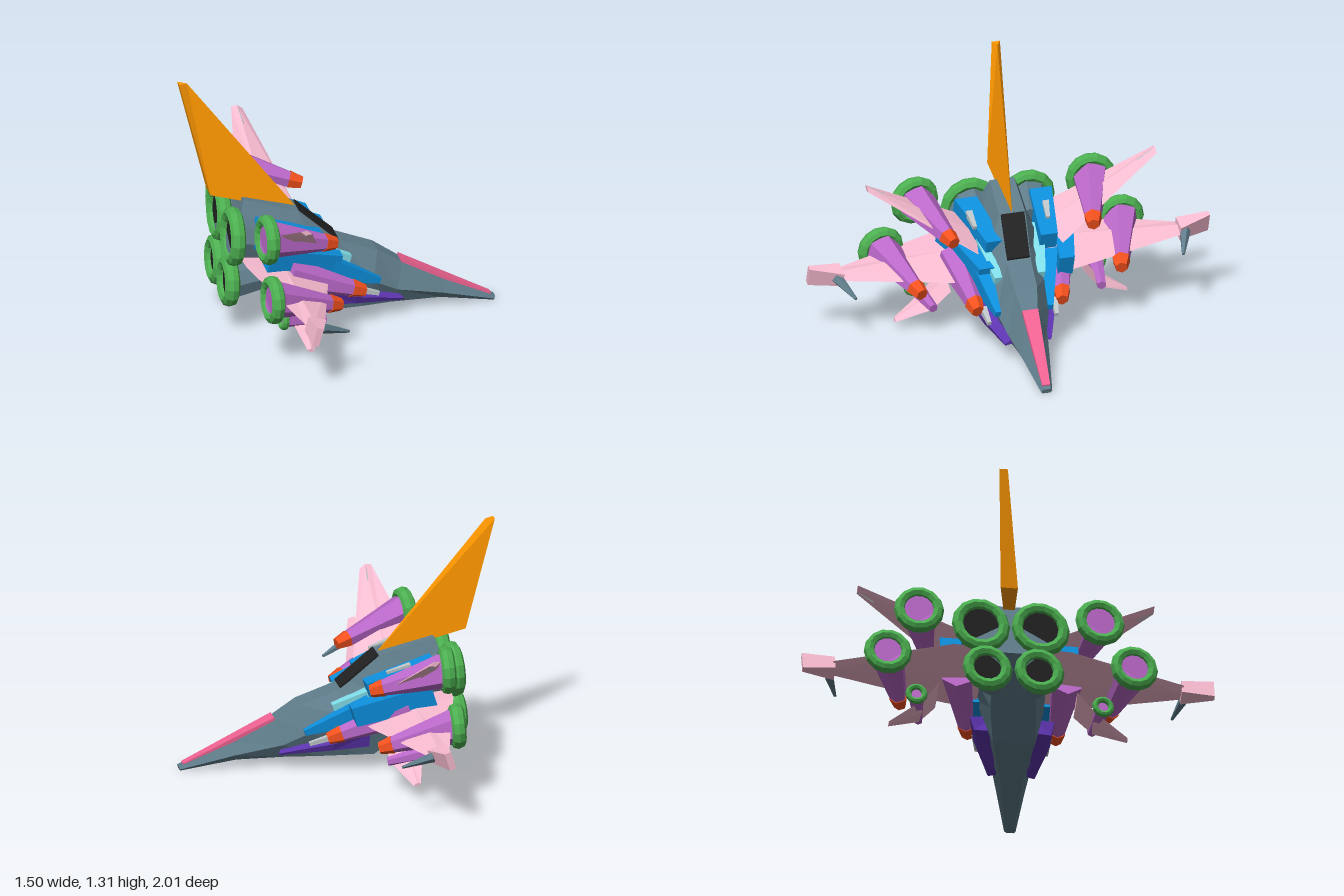
import * as THREE from 'three';

// Ship axes: x = ship's left, y = ship's up, z = forward; the ship is banked and yawed in the model frame
const LEFT = new THREE.Vector3(0.365, 0.045, -0.93);
const UP = new THREE.Vector3(0.281, 0.957, 0.069);
const HULL_POSE = new THREE.Matrix4()
  .makeBasis(LEFT, UP, new THREE.Vector3(0.87, -0.285, 0.405)).setPosition(-0.135, 0.295, 0.10);
// Wings and cannons point a few degrees to the left of the fuselage
const WING_POSE = new THREE.Matrix4()
  .makeBasis(LEFT, UP, new THREE.Vector3(0.9065, -0.2805, 0.312)).setPosition(-0.12, 0.297, 0.063);

const COLORS = {
  hull: 0x607d8b, black: 0x212121, blue: 0x0d8fdc, cyan: 0x80deea,
  pink: 0xf8bbd0, rose: 0xf06292, purple: 0xba68c8, violet: 0x5e35b1,
  orange: 0xff9800, red: 0xf4511e, green: 0x4caf50, pale: 0xbdc5c8
};
const mats = {};
for (const k in COLORS) {
  mats[k] = new THREE.MeshStandardMaterial({ color: COLORS[k], flatShading: true });
}

// Solid through cross-sections that share a corner count, capped at both ends
function loft(sections) {
  const n = sections[0].length, pos = [];
  const tri = (a, b, c) => pos.push(...a, ...b, ...c);
  for (let s = 0; s < sections.length - 1; s++) {
    const A = sections[s], B = sections[s + 1];
    for (let i = 0; i < n; i++) {
      const j = (i + 1) % n;
      tri(A[i], A[j], B[j]);
      tri(A[i], B[j], B[i]);
    }
  }
  const first = sections[0], last = sections[sections.length - 1];
  for (let i = 1; i < n - 1; i++) {
    tri(first[0], first[i + 1], first[i]);
    tri(last[0], last[i], last[i + 1]);
  }
  const g = new THREE.BufferGeometry();
  g.setAttribute('position', new THREE.Float32BufferAttribute(pos, 3));
  return g;
}

// Rectangular bar from a to b with its own width and height at each end
const rect = ([x, y, z], w, h) => [[x - w / 2, y - h / 2, z], [x + w / 2, y - h / 2, z], [x + w / 2, y + h / 2, z], [x - w / 2, y + h / 2, z]];
const bar = (a, wa, ha, b, wb, hb) => loft([rect(a, wa, ha), rect(b, wb, hb)]);

// Diamond-section wing; each station is [x, y, leading z, trailing z, half thickness]
const wing = (stations) => loft(stations.map(([x, y, lead, trail, t]) => {
  const mid = lead * 0.45 + trail * 0.55;
  return [[x, y, lead], [x, y + t, mid], [x, y, trail], [x, y - t, mid]];
}));

// Turn a geometry from its own axis to direction dir and move it to p
function aim(g, axis, dir, p) {
  const q = new THREE.Quaternion().setFromUnitVectors(axis, dir.clone().normalize());
  return g.applyQuaternion(q).translate(p.x, p.y, p.z);
}
function frustum(a, b, ra, rb, sides) {
  const A = new THREE.Vector3(...a), dir = new THREE.Vector3(...b).sub(A);
  const g = new THREE.CylinderGeometry(rb, ra, dir.length(), sides);
  return aim(g, new THREE.Vector3(0, 1, 0), dir, A.addScaledVector(dir, 0.5));
}
// Exhaust ring, its tube a little longer than it is thick
const ring = (a, dir, outer, tube) => aim(
  new THREE.TorusGeometry(outer - tube, tube, 8, 14).scale(1, 1, 1.25),
  new THREE.Vector3(0, 0, 1), new THREE.Vector3(...dir), new THREE.Vector3(...a));
const mix = (a, b, t) => a.map((v, i) => v + (b[i] - v) * t);
const step = (a, dir, t) => a.map((v, i) => v + dir[i] * t);

// Pose the geometry and make sure its faces look outward
function finish(source, pose, mirrored) {
  const g = source.index ? source.toNonIndexed() : source.clone();
  if (mirrored) g.scale(-1, 1, 1);
  g.applyMatrix4(pose);
  const p = g.attributes.position;
  const a = new THREE.Vector3(), b = new THREE.Vector3(), c = new THREE.Vector3();
  const o = new THREE.Vector3().fromBufferAttribute(p, 0);
  let volume = 0;
  for (let i = 0; i < p.count; i += 3) {
    a.fromBufferAttribute(p, i).sub(o);
    b.fromBufferAttribute(p, i + 1).sub(o);
    c.fromBufferAttribute(p, i + 2).sub(o);
    volume += a.dot(b.cross(c));
  }
  if (volume < 0) {
    for (let i = 0; i < p.count; i += 3) {
      b.fromBufferAttribute(p, i + 1);
      c.fromBufferAttribute(p, i + 2);
      p.setXYZ(i + 1, c.x, c.y, c.z);
      p.setXYZ(i + 2, b.x, b.y, b.z);
    }
  }
  g.computeVertexNormals();
  return g;
}

export function createModel() {
  const ship = new THREE.Group();
  ship.name = 'starfighter';
  const add = (name, color, g, pose = HULL_POSE, mirrored = false) => {
    const m = new THREE.Mesh(finish(g, pose, mirrored), mats[color]);
    m.name = name;
    ship.add(m);
  };
  const pair = (name, color, g, pose = WING_POSE) => {
    add(name + 'Left', color, g, pose);
    add(name + 'Right', color, g, pose, true);
  };

  // Fuselage: forward position, then half width and height of top, side and bottom
  add('fuselage', 'hull', loft([
    [1.0, 0.02, 0.014, 0.03, 0, 0.02, -0.01],
    [0.71, 0.03, 0.052, 0.07, -0.01, 0.045, -0.045],
    [0.46, 0.04, 0.10, 0.105, -0.03, 0.06, -0.118],
    [0.31, 0.06, 0.14, 0.14, 0, 0.08, -0.165],
    [0.10, 0.065, 0.15, 0.17, 0.03, 0.10, -0.228],
    [0.03, 0.068, 0.177, 0.18, 0.03, 0.11, -0.25],
    [-0.16, 0.07, 0.264, 0.19, 0.03, 0.12, -0.18],
    [-0.46, 0.065, 0.26, 0.15, 0.07, 0.09, -0.06]
  ].map(([f, wt, ut, ws, us, wb, ub]) =>
    [[wt, ut, f], [ws, us, f], [wb, ub, f], [-wb, ub, f], [-ws, us, f], [-wt, ut, f]])));
  add('canopy', 'black', bar([0, 0.25, -0.155], 0.125, 0.045, [0, 0.146, 0.085], 0.12, 0.04));
  add('noseStripe', 'rose', bar([0, 0.10, 0.455], 0.085, 0.025, [0, 0.014, 0.975], 0.042, 0.02));

  // Tail fin: sharp leading edge, flat trailing face
  add('tailFin', 'orange', loft([
    [[0, 0.24, -0.13], [0.045, 0.24, -0.63], [-0.045, 0.24, -0.63]],
    [[0, 0.79, -0.905], [0.022, 0.78, -0.95], [-0.022, 0.78, -0.95]]
  ]));

  // Main engines at the stern, their rings upright
  const mainAxis = [0, 0.23, 0.975];
  for (const [name, a, b, r] of [
    ['upperEngine', [0.155, 0.09, -0.49], [0.13, 0.10, -0.26], 0.152],
    ['lowerEngine', [0.135, -0.16, -0.44], [0.11, -0.09, -0.26], 0.13]
  ]) {
    pair(name + 'Ring', 'green', ring(a, mainAxis, r, 0.032), HULL_POSE);
    pair(name + 'Housing', 'hull', frustum(a, b, r * 0.75, r * 0.6, 8), HULL_POSE);
    pair(name + 'Core', 'black', frustum(step(a, mainAxis, -0.012), step(a, mainAxis, 0.02), r * 0.75, r * 0.75, 14), HULL_POSE);
  }

  // Blue shoulder boxes, cyan shards and violet strakes
  pair('upperShoulder', 'blue', bar([0.20, 0.15, -0.40], 0.12, 0.13, [0.145, 0.155, -0.03], 0.09, 0.09));
  pair('sideShoulder', 'blue', bar([0.30, 0.065, -0.33], 0.12, 0.13, [0.215, 0.07, 0.09], 0.08, 0.11));
  pair('cheekWedge', 'blue', bar([0.185, 0.045, -0.02], 0.10, 0.14, [0.14, 0.015, 0.34], 0.03, 0.03), HULL_POSE);
  pair('cheekShard', 'cyan', bar([0.15, 0.12, -0.2], 0.09, 0.07, [0.115, 0.09, 0.16], 0.04, 0.04), HULL_POSE);
  pair('strake', 'violet', loft([
    [[0.10, -0.07, 0.03], [0.22, -0.085, 0.03], [0.20, -0.16, 0.05], [0.10, -0.17, 0.03]],
    [[0.10, -0.06, 0.28], [0.20, -0.08, 0.22], [0.18, -0.12, 0.24], [0.08, -0.14, 0.28]],
    [[0.09, -0.055, 0.48], [0.125, -0.06, 0.50], [0.12, -0.07, 0.50], [0.07, -0.075, 0.48]]
  ]), HULL_POSE);

  // Wings
  pair('mainWing', 'pink', wing([
    [0.14, 0, 0.06, -0.44, 0.03],
    [0.31, 0, 0.03, -0.43, 0.028],
    [0.91, -0.015, -0.14, -0.25, 0.018]
  ]));
  pair('mainWingtip', 'pink', loft([
    [[0.90, -0.05, -0.24], [0.90, -0.05, -0.14], [0.90, 0.025, -0.14], [0.90, 0.025, -0.24]],
    [[1.07, -0.06, -0.235], [1.07, -0.06, -0.20], [1.07, 0.04, -0.20], [1.07, 0.04, -0.235]]
  ]));
  pair('wingtipSpike', 'hull', frustum([0.93, -0.01, -0.16], [0.875, -0.025, 0.01], 0.03, 0.008, 5));
  pair('upperWing', 'pink', wing([
    [0.16, 0.09, 0.0, -0.39, 0.025],
    [0.77, 0.42, -0.30, -0.365, 0.014]
  ]));
  pair('upperWingtipSlot', 'pale', frustum([0.68, 0.37, -0.31], [0.76, 0.415, -0.33], 0.018, 0.014, 4));
  pair('lowerFin', 'pink', wing([
    [0.36, -0.07, 0.0, -0.20, 0.018],
    [0.45, -0.175, 0.0, -0.17, 0.018],
    [0.62, -0.265, -0.05, -0.09, 0.01]
  ]));

  // Cannons: rear centre, muzzle, body radius, ring radius, pose
  const toedAxis = [-0.1, 0.23, 0.968];
  for (const [name, a, b, r, ringR, pose] of [
    ['upperCannon', [0.47, 0.23, -0.42], [0.373, 0.235, -0.015], 0.10, 0.13, WING_POSE],
    ['outerCannon', [0.64, -0.02, -0.36], [0.533, -0.025, 0.05], 0.10, 0.125, WING_POSE],
    ['innerCannon', [0.28, 0.0, -0.2], [0.226, -0.026, 0.245], 0.09, 0, HULL_POSE]
  ]) {
    pair(name + 'Body', 'purple', frustum(a, mix(a, b, 0.84), r, 0.044, 6), pose);
    pair(name + 'Muzzle', 'red', frustum(mix(a, b, 0.83), b, 0.049, 0.033, 6), pose);
    if (ringR) {
      pair(name + 'Ring', 'green', ring(a, toedAxis, ringR, 0.03), pose);
      pair(name + 'Cap', 'purple', frustum(step(a, toedAxis, -0.015), step(a, toedAxis, 0.015), ringR - 0.03, ringR - 0.03, 14), pose);
    }
  }

  // Small pods on the lower fins
  const podRear = [0.485, -0.174, -0.217];
  pair('finPodBody', 'purple', frustum(podRear, [0.45, -0.15, 0.02], 0.045, 0.024, 6));
  pair('finPodRing', 'green', ring(podRear, toedAxis, 0.058, 0.016));

  // Small pale fittings
  for (const [name, x, y, z] of [['shoulderFitting', 0.205, 0.21, -0.22], ['hullFitting', 0.19, -0.04, 0.27]]) {
    pair(name, 'pale', bar([x, y, z - 0.06], 0.035, 0.03, [x - 0.01, y, z + 0.07], 0.02, 0.02), HULL_POSE);
  }

  return ship;
}
